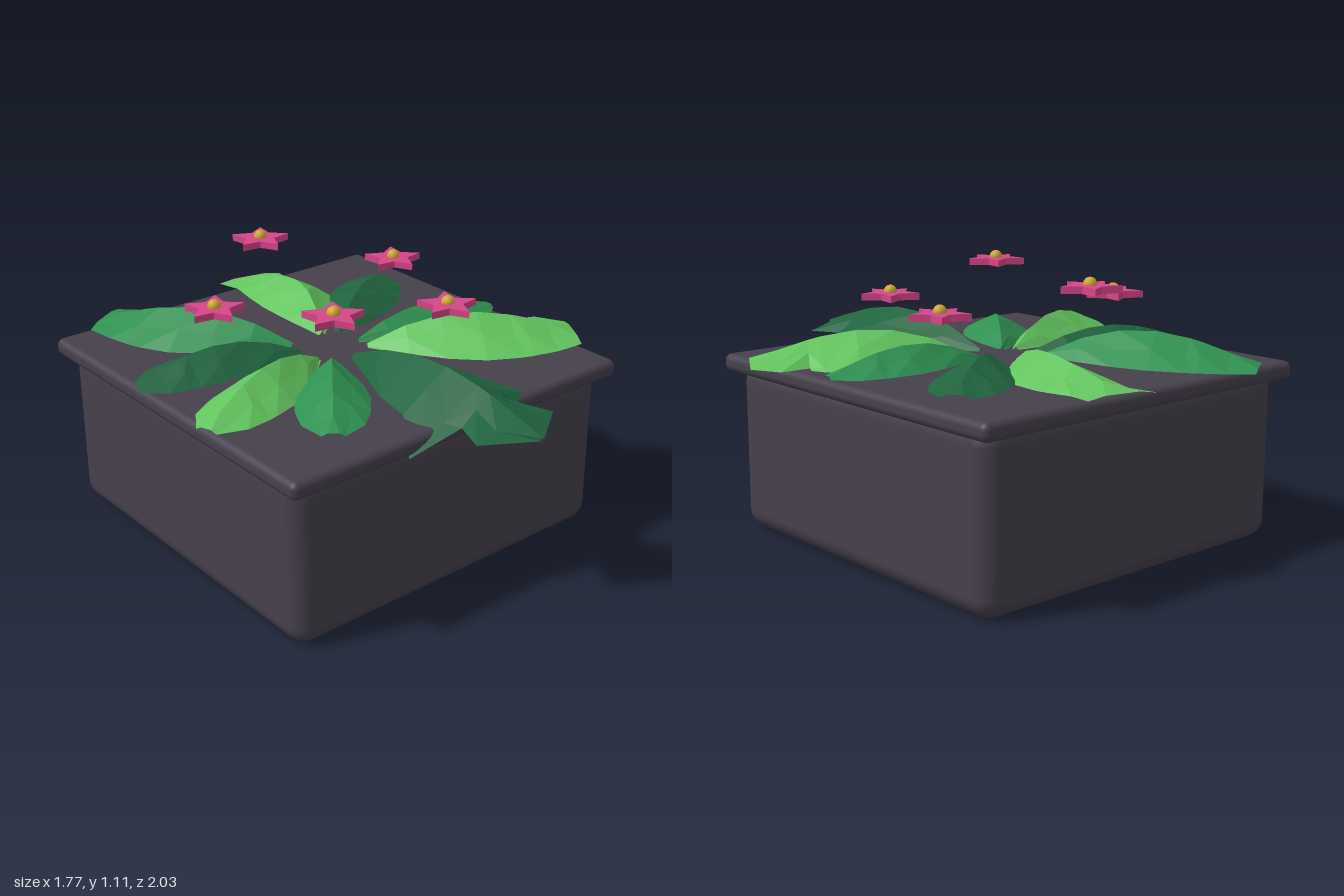
import * as THREE from 'three';
import { RoundedBoxGeometry } from 'three/addons/geometries/RoundedBoxGeometry.js';

const material = (name, color, extra = {}) => {
  const m = new THREE.MeshStandardMaterial({ color, ...extra });
  m.name = name;
  return m;
};

// Half-width of a leaf edge at each station along the rib
const STATIONS = [0, 0.18, 0.35, 0.52, 0.68, 0.74, 0.87];
const EDGES = {
  smooth: [0.1, 0.5, 0.82, 1, 0.98, 0.94, 0.8],
  notched: [0.1, 0.45, 0.75, 0.95, 1.08, 0.65, 0.9],
  spurred: [0.1, 0.45, 0.8, 0.98, 1.5, 0.62, 0.88],
};

// base and tip are [x, z]; blunt is the tip's share of the width; bend curves the rib sideways
const LEAVES = [
  { name: 'backLeaf', color: 'lime', base: [0.0, -0.25], tip: [0.15, -0.97], width: 0.16, peak: 0.84, blunt: 0.92, bend: 0.07 },
  { name: 'backRightLeaf', color: 'dark', base: [0.07, -0.22], tip: [0.61, -0.6], width: 0.155, peak: 0.82, blunt: 0.4 },
  { name: 'rightLeaf', color: 'mid', base: [0.07, -0.1], tip: [0.76, -0.04], width: 0.13, peak: 0.83, blunt: 0.25 },
  { name: 'frontRightLeaf', color: 'lime', base: [0.07, -0.04], tip: [0.82, 0.4], width: 0.22, peak: 0.86, blunt: 0.55, edges: ['smooth', 'spurred'] },
  { name: 'frontLeaf', color: 'dark', base: [-0.03, 0.0], tip: [0.01, 1.0], width: 0.23, peak: 0.865, blunt: 0.03, edges: ['spurred', 'notched'] },
  { name: 'frontLeftLeaf', color: 'mid', base: [-0.13, -0.02], tip: [-0.54, 0.5], width: 0.145, peak: 0.83, blunt: 0.3 },
  { name: 'leftLeaf', color: 'lime', base: [-0.17, -0.06], tip: [-0.87, 0.18], width: 0.15, peak: 0.85, blunt: 0.3 },
  { name: 'backLeftLowLeaf', color: 'dark', base: [-0.18, -0.16], tip: [-0.87, -0.29], width: 0.15, peak: 0.83, blunt: 0.3, bend: 0.04 },
  { name: 'backLeftLeaf', color: 'mid', base: [-0.16, -0.24], tip: [-0.61, -0.97], width: 0.2, peak: 0.86, blunt: 0.6, bend: -0.03 },
];

// Arched leaf: five points across each station, ridge in the middle, both edges low
function leafGeometry({ base, tip, width, peak, blunt, bend = 0, edges = ['smooth', 'smooth'] }) {
  const from = new THREE.Vector2(...base), to = new THREE.Vector2(...tip);
  const along = to.clone().sub(from).normalize();
  const across = new THREE.Vector2(-along.y, along.x);
  const pos = [], index = [];
  [...STATIONS, 1].forEach((t, i) => {
    const rib = from.clone().lerp(to, t).addScaledVector(across, bend * Math.sin(Math.PI * t));
    const ridge = 0.75 + (peak - 0.75) * Math.sin(Math.PI * Math.pow(t, 0.9));
    for (let k = 0; k < 5; k++) {
      const s = 1 - k / 2, out = Math.abs(s);
      const reach = EDGES[edges[s > 0 ? 0 : 1]][i] ?? blunt;
      // Long spurs hang down over the rim
      const edgeY = reach > 1.2 ? 0.66 : 0.738;
      const point = rib.clone().addScaledVector(across, s * width * reach);
      const ripple = out === 0.5 ? (i % 2 ? 0.006 : -0.004) : 0;
      pos.push(point.x, THREE.MathUtils.lerp(ridge, edgeY, out) + ripple, point.y);
    }
    if (i === 0) return;
    for (let k = 0; k < 4; k++) {
      const a = (i - 1) * 5 + k, b = a + 1, c = a + 5, d = a + 6;
      // Diagonals mirror about the ridge like leaf veins
      if (k < 2) index.push(a, b, c, b, d, c);
      else index.push(a, b, d, a, d, c);
    }
  });
  const g = new THREE.BufferGeometry();
  g.setAttribute('position', new THREE.Float32BufferAttribute(pos, 3));
  g.setIndex(index);
  g.computeVertexNormals();
  return g;
}

// Flat five-pointed blossom, one point towards the front
function starGeometry(outer, inner, depth) {
  const shape = new THREE.Shape();
  for (let i = 0; i < 10; i++) {
    const r = i % 2 ? inner : outer, a = -Math.PI / 2 + i * Math.PI / 5;
    shape[i ? 'lineTo' : 'moveTo'](r * Math.cos(a), r * Math.sin(a));
  }
  shape.closePath();
  return new THREE.ExtrudeGeometry(shape, { depth, bevelEnabled: false }).rotateX(-Math.PI / 2);
}

export function createModel() {
  const model = new THREE.Group();
  model.name = 'pottedPlant';
  const leafLook = { flatShading: true, side: THREE.DoubleSide };
  const greens = {
    lime: material('leafLime', 0x62c45e, leafLook),
    mid: material('leafGreen', 0x2f9152, leafLook),
    dark: material('leafDark', 0x20643f, leafLook),
  };
  const pot = material('potCharcoal', 0x46404c);
  const pink = material('petalPink', 0xd6468a);
  const gold = material('flowerGold', 0xd0a72e);

  const add = (parent, name, geometry, mat, x = 0, y = 0, z = 0) => {
    const mesh = new THREE.Mesh(geometry, mat);
    mesh.name = name;
    mesh.position.set(x, y, z);
    parent.add(mesh);
  };

  // Square pot and its overhanging closed rim
  add(model, 'potBody', new RoundedBoxGeometry(1.54, 0.7, 1.54, 3, 0.08), pot, -0.05, 0.35, -0.123);
  add(model, 'potRim', new RoundedBoxGeometry(1.63, 0.073, 1.63, 3, 0.03), pot, -0.05, 0.695, -0.123);

  // Rosette of leaves
  const leaves = new THREE.Group();
  leaves.name = 'leaves';
  for (const leaf of LEAVES) add(leaves, leaf.name, leafGeometry(leaf), greens[leaf.color]);
  model.add(leaves);

  // Floating flowers at two heights
  const star = starGeometry(0.123, 0.062, 0.028);
  const ball = new THREE.SphereGeometry(0.027, 12, 8);
  const low = 0.952, high = 1.05;
  const spots = [[-0.5, low, -0.29], [-0.04, high, -0.61], [0.41, low, -0.275], [0.23, low, 0.26], [-0.335, high, 0.25]];
  for (const [x, y, z] of spots) {
    const flower = new THREE.Group();
    flower.name = 'flower';
    flower.position.set(x, y, z);
    add(flower, 'petals', star, pink);
    add(flower, 'flowerCentre', ball, gold, 0, 0.031, 0);
    model.add(flower);
  }
  return model;
}
